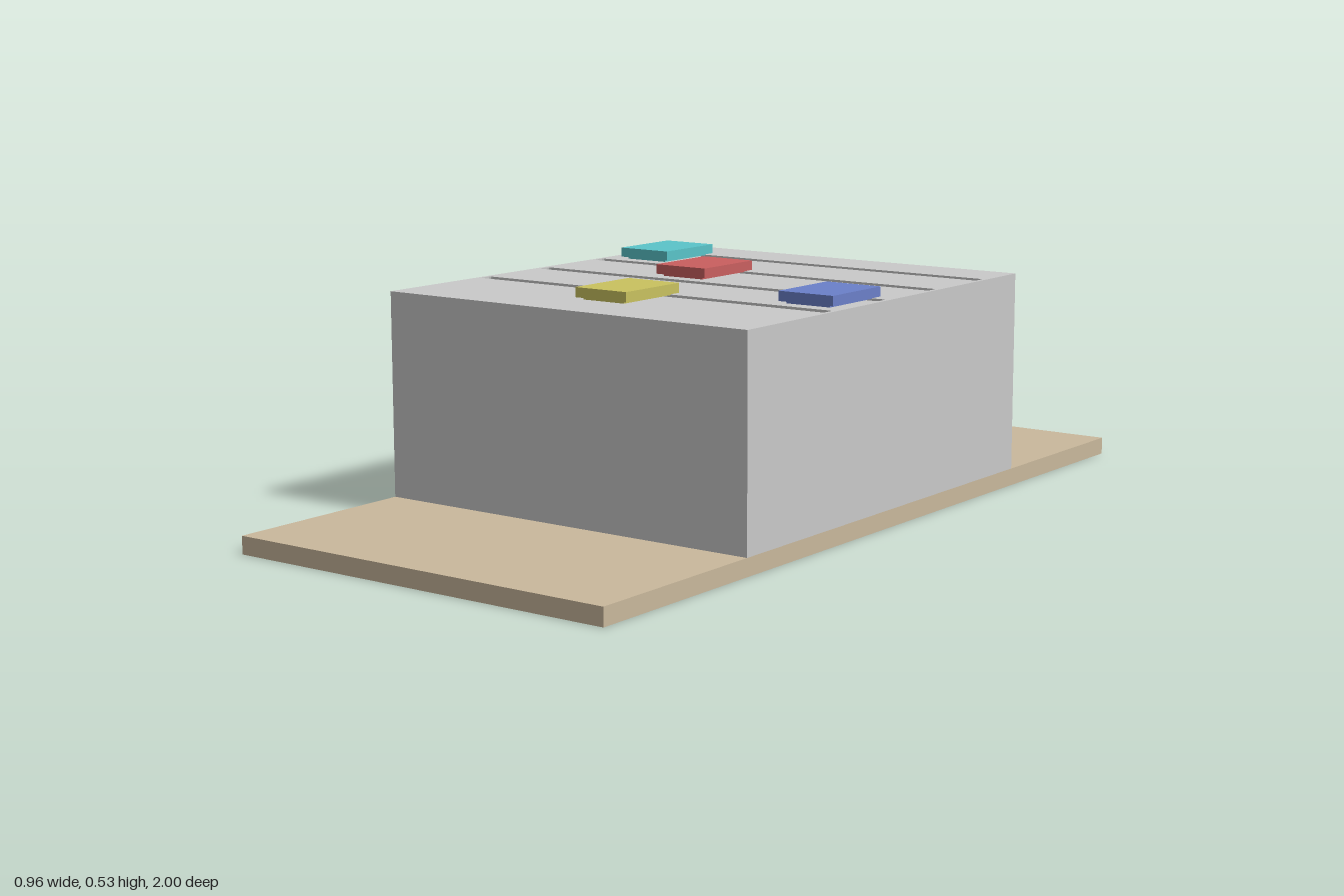
import * as THREE from 'three';

const material = (name, color) => {
  const m = new THREE.MeshStandardMaterial({ color });
  m.name = name;
  return m;
};

// Rectangle outline with optionally rounded corners, traced in x and -z
function rectangle(path, w, h, cy, r) {
  const x = w / 2, t = cy + h / 2, b = cy - h / 2;
  path.moveTo(-x + r, b);
  path.lineTo(x - r, b);
  if (r) path.quadraticCurveTo(x, b, x, b + r);
  path.lineTo(x, t - r);
  if (r) path.quadraticCurveTo(x, t, x - r, t);
  path.lineTo(-x + r, t);
  if (r) path.quadraticCurveTo(-x, t, -x, t - r);
  path.lineTo(-x, b + r);
  if (r) path.quadraticCurveTo(-x, b, -x + r, b);
  path.closePath();
  return path;
}

export function createModel() {
  const group = new THREE.Group();
  const grey = material('body grey', 0xc9c9c9);
  const wood = material('wood', 0xc9b89c);

  // Box given by its size, its centre in x and z, and its bottom height
  const box = (name, mat, w, h, d, x, y, z) => {
    const mesh = new THREE.Mesh(new THREE.BoxGeometry(w, h, d), mat);
    mesh.position.set(x, y + h / 2, z);
    mesh.name = name;
    group.add(mesh);
  };

  // Long base board and the solid lower body
  box('baseBoard', wood, 0.96, 0.04, 2, 0, 0, 0);
  const bodyDepth = 1.076, slotDepth = 0.04, top = 0.502;
  box('body', grey, 0.96, top - slotDepth - 0.04, bodyDepth, 0, 0.04, 0);

  // Top layer of the body, cut by four long slots
  const shape = rectangle(new THREE.Shape(), 0.96, bodyDepth, 0, 0);
  for (const z of [-0.389, -0.181, 0.027, 0.235]) {
    shape.holes.push(rectangle(new THREE.Path(), 0.94, 0.032, -z, 0.008));
  }
  const slotted = new THREE.ExtrudeGeometry(shape, { depth: slotDepth, bevelEnabled: false, curveSegments: 3 });
  slotted.rotateX(-Math.PI / 2);
  const panel = new THREE.Mesh(slotted, grey);
  panel.position.y = top - slotDepth;
  panel.name = 'slottedTop';
  group.add(panel);

  // Coloured sliders, each on a slightly narrower foot
  const sliders = [
    ['cyan', 0x5ac4c9, -0.363, -0.315],
    ['red', 0xc95f5f, -0.098, -0.107],
    ['blue', 0x6b80c9, 0.385, 0.1],
    ['yellow', 0xc9c25f, 0, 0.308],
  ];
  for (const [name, color, x, z] of sliders) {
    const mat = material(name, color);
    box(name + 'SliderFoot', mat, 0.11, 0.006, 0.165, x, top, z);
    box(name + 'Slider', mat, 0.138, 0.022, 0.186, x, top + 0.005, z);
  }
  return group;
}
